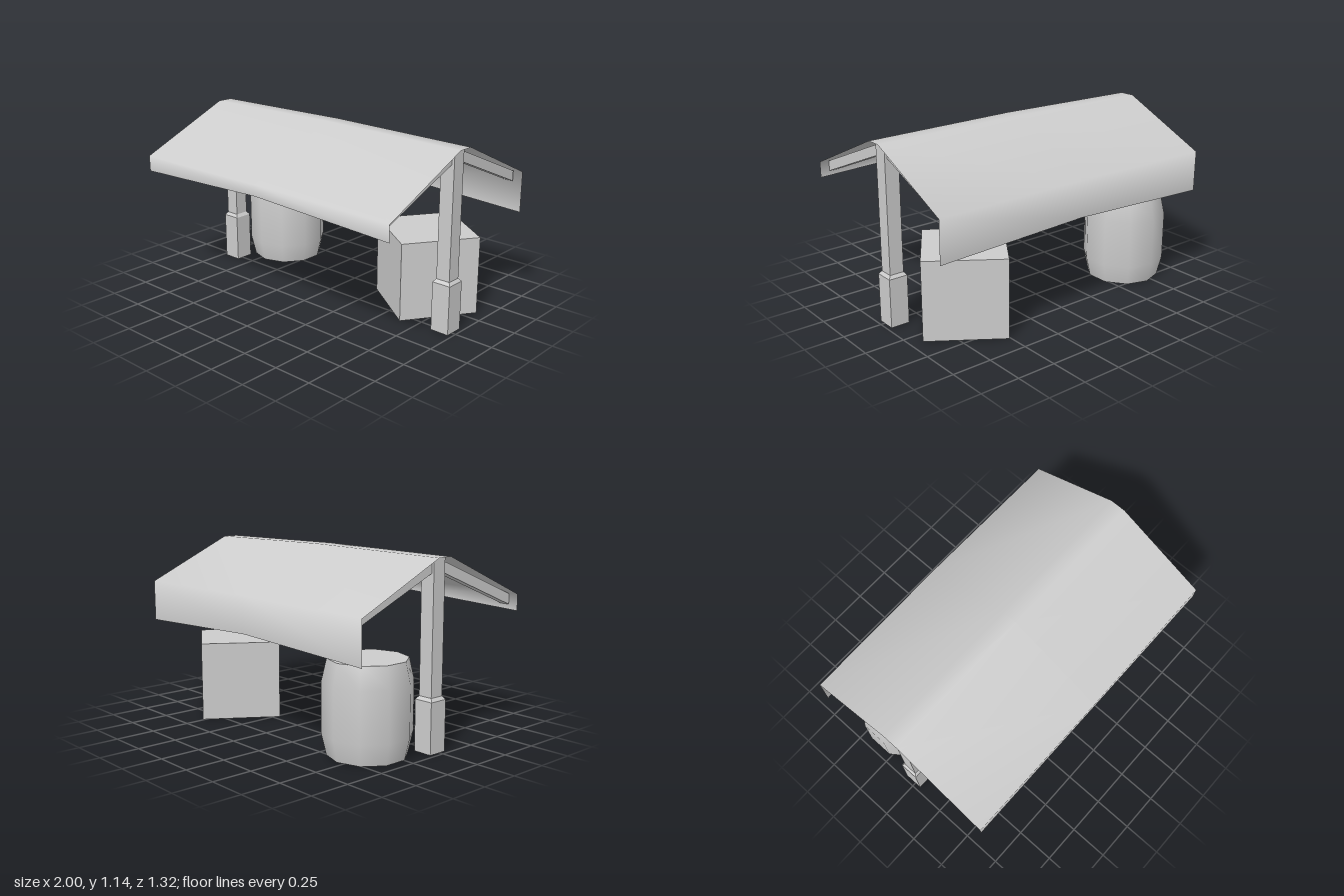
import * as THREE from 'three';

export function createModel() {
  const model = new THREE.Group();
  model.name = 'marketStall';

  const grey = new THREE.MeshStandardMaterial({ color: 0xcccccc, side: THREE.DoubleSide });
  grey.name = 'plain grey';
  const greyFlat = grey.clone();
  greyFlat.flatShading = true;
  greyFlat.name = 'plain grey faceted';

  const add = (name, geometry, material = grey) => {
    const mesh = new THREE.Mesh(geometry, material);
    mesh.name = name;
    model.add(mesh);
    return mesh;
  };

  // Awning: one cloth profile [z, y] swept along x, drooping towards the ends
  const middle = [[0.657, 0.80], [0.66, 0.872], [0.035, 1.143], [-0.07, 1.143], [-0.66, 0.872], [-0.657, 0.64]];
  const ends = [[0.652, 0.76], [0.653, 0.862], [0.033, 1.131], [-0.068, 1.131], [-0.653, 0.862], [-0.652, 0.60]];
  const positions = [];
  const indices = [];
  const n = middle.length;
  [[-1, ends], [0, middle], [1, ends]].forEach(([x, profile], row) => {
    for (const [z, y] of profile) positions.push(x, y, z);
    if (row === 2) return;
    for (let i = 0; i < n - 1; i++) {
      const a = row * n + i;
      const b = a + n;
      indices.push(a, b, a + 1, b, b + 1, a + 1);
    }
  });
  const cloth = new THREE.BufferGeometry();
  cloth.setAttribute('position', new THREE.Float32BufferAttribute(positions, 3));
  cloth.setIndex(indices);
  cloth.computeVertexNormals();
  add('awning', cloth);

  // Square posts with a wider foot, open underneath
  const half = (w) => w / Math.SQRT2;
  const postProfile = [
    [half(0.123), 0], [half(0.123), 0.31], [half(0.092), 0.33], [half(0.092), 1.125], [0, 1.125],
  ].map(([r, y]) => new THREE.Vector2(r, y));

  // Sloping rafters from post to eave
  const rafterThickness = 0.06;
  const rafterGeometry = (zIn, zOut) => {
    const shape = new THREE.Shape([
      [zIn, 1.04], [zOut, 0.795], [zOut, 0.86], [zIn, 1.105],
    ].map(([z, y]) => new THREE.Vector2(z, y)));
    const g = new THREE.ExtrudeGeometry(shape, { depth: rafterThickness, bevelEnabled: false });
    g.rotateY(-Math.PI / 2);
    g.translate(rafterThickness / 2, 0, 0);
    return g;
  };

  for (const [side, sign] of [['left', 1], ['right', -1]]) {
    const x = sign * 0.912;
    add(side + 'Post', new THREE.LatheGeometry(postProfile, 4, Math.PI / 4), greyFlat).position.set(x, 0, -0.0175);
    add(side + 'FrontRafter', rafterGeometry(0.028, 0.645)).position.x = x;
    add(side + 'BackRafter', rafterGeometry(-0.063, -0.64)).position.x = x;
  }

  // Crate, turned on the spot
  const crate = add('crate', new THREE.BoxGeometry(0.5, 0.5, 0.5));
  crate.position.set(0.575, 0.25, -0.272);
  crate.rotation.y = -0.6;

  // Ten-sided barrel with smooth staves and flat ends
  const barrelProfile = [[0.236, 0], [0.266, 0.13], [0.266, 0.435], [0.236, 0.565]]
    .map(([r, y]) => new THREE.Vector2(r, y));
  add('barrelStaves', new THREE.LatheGeometry(barrelProfile, 10)).position.set(-0.706, 0, -0.319);
  for (const [name, y, turn] of [['barrelLid', 0.565, -1], ['barrelBottom', 0, 1]]) {
    const disc = new THREE.CircleGeometry(0.236, 10, Math.PI / 2);
    disc.rotateX(turn * Math.PI / 2);
    add(name, disc).position.set(-0.706, y, -0.319);
  }

  return model;
}
